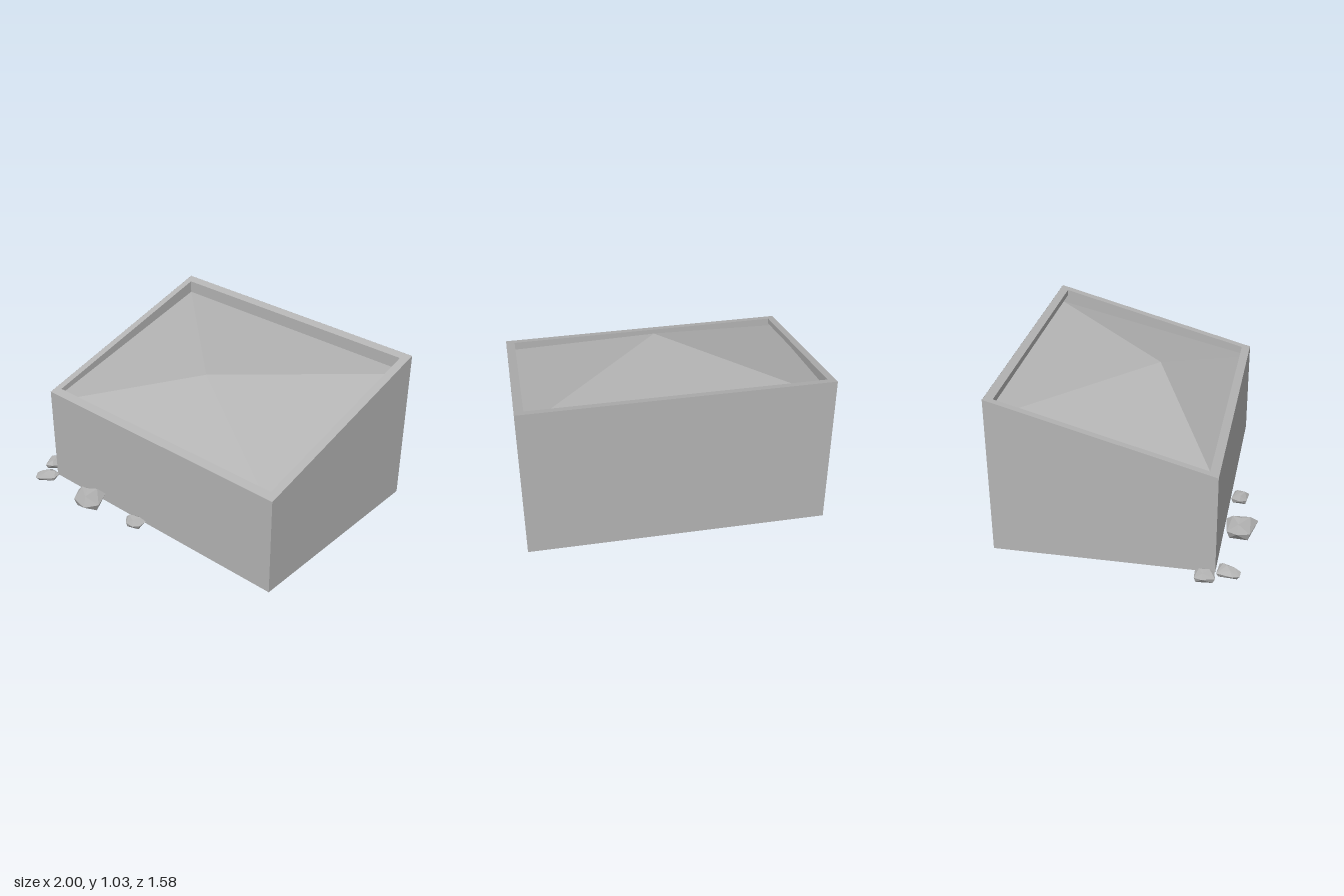
import * as THREE from 'three';
import { ConvexGeometry } from 'three/addons/geometries/ConvexGeometry.js';

const X0 = -0.855, X1 = 1, Z0 = -0.793, Z1 = 0.58;
const LOW = 0.653, HIGH = 1.026, RIM = 0.037;

// Height of the sloping top at depth z
const slopeY = (z) => LOW + (HIGH - LOW) * (Z1 - z) / (Z1 - Z0);

// Four upright walls with a sloping upper edge, open above and below
function wallGeometry() {
  const g = new THREE.BoxGeometry(X1 - X0, 1, Z1 - Z0);
  g.translate((X0 + X1) / 2, 0.5, (Z0 + Z1) / 2);
  const p = g.attributes.position;
  for (let i = 0; i < p.count; i++) if (p.getY(i) > 0.5) p.setY(i, slopeY(p.getZ(i)));
  const idx = Array.from(g.index.array);
  g.setIndex([...idx.slice(0, 12), ...idx.slice(24, 36)]);
  g.clearGroups();
  return g;
}

// Flat rim with a rectangular opening, sheared to follow the slope
function rimGeometry() {
  const e = 0.0005;
  const rect = (T, a, b, c, d) => new T([[a, c], [b, c], [b, d], [a, d]].map(([x, z]) => new THREE.Vector2(x, -z)));
  const shape = rect(THREE.Shape, X0 + e, X1 - e, Z0 + e, Z1 - e);
  shape.holes.push(rect(THREE.Path, -0.81, 0.945, -0.742, 0.525));
  const g = new THREE.ExtrudeGeometry(shape, { depth: RIM, bevelEnabled: false });
  g.rotateX(-Math.PI / 2);
  const p = g.attributes.position;
  for (let i = 0; i < p.count; i++) p.setY(i, p.getY(i) - RIM + slopeY(p.getZ(i)));
  g.computeVertexNormals();
  return g;
}

// Heaped fill: four facets rising from the walls to one peak
function moundGeometry() {
  const peak = [0.07, 0.915, 0.085];
  const c = [[X0, 0.578, Z1], [X1, 0.578, Z1], [X1, 0.9, Z0], [X0, 0.9, Z0]];
  const pts = c.flatMap((a, i) => [...a, ...c[(i + 1) % 4], ...peak]);
  const g = new THREE.BufferGeometry();
  g.setAttribute('position', new THREE.Float32BufferAttribute(pts, 3));
  g.computeVertexNormals();
  return g;
}

// Faceted stone: its widest outline, with smaller rings at the ground and the crown
function rockGeometry(height, cx, cz, outline) {
  const at = (x, z, s, y) => new THREE.Vector3(cx + (x - cx) * s, y * height, cz + (z - cz) * s);
  const pts = [at(cx, cz, 1, 1)];
  outline.forEach(([x, z], i) => {
    pts.push(at(x, z, 1, i % 2 ? 0.4 : 0.52));
    if (i % 2) pts.push(at(x, z, 0.8, 0));
    else pts.push(at(x, z, 0.55, 0.88));
  });
  return new ConvexGeometry(pts);
}

export function createModel() {
  const stone = new THREE.MeshStandardMaterial({ color: 0xb4b4b4, side: THREE.DoubleSide });
  stone.name = 'grey stone';
  const model = new THREE.Group();
  model.name = 'slopedPlanter';
  const add = (name, geometry) => {
    const mesh = new THREE.Mesh(geometry, stone);
    mesh.name = name;
    model.add(mesh);
  };
  add('walls', wallGeometry());
  add('rim', rimGeometry());
  add('mound', moundGeometry());
  add('largeRock', rockGeometry(0.13, -0.44, 0.685,
    [[-0.54, 0.67], [-0.49, 0.605], [-0.37, 0.588], [-0.325, 0.695], [-0.36, 0.79], [-0.5, 0.75]]));
  add('smallRock', rockGeometry(0.077, -0.06, 0.645,
    [[-0.115, 0.65], [-0.07, 0.587], [0.015, 0.605], [0.012, 0.66], [-0.01, 0.7], [-0.08, 0.69]]));
  add('cornerRock', rockGeometry(0.065, -0.86, 0.65,
    [[-0.935, 0.69], [-0.9, 0.59], [-0.81, 0.6], [-0.805, 0.655], [-0.87, 0.735], [-0.91, 0.73]]));
  add('sideRock', rockGeometry(0.08, -0.945, 0.522,
    [[-1, 0.515], [-0.975, 0.467], [-0.91, 0.465], [-0.885, 0.52], [-0.91, 0.58], [-0.965, 0.592]]));
  return model;
}
